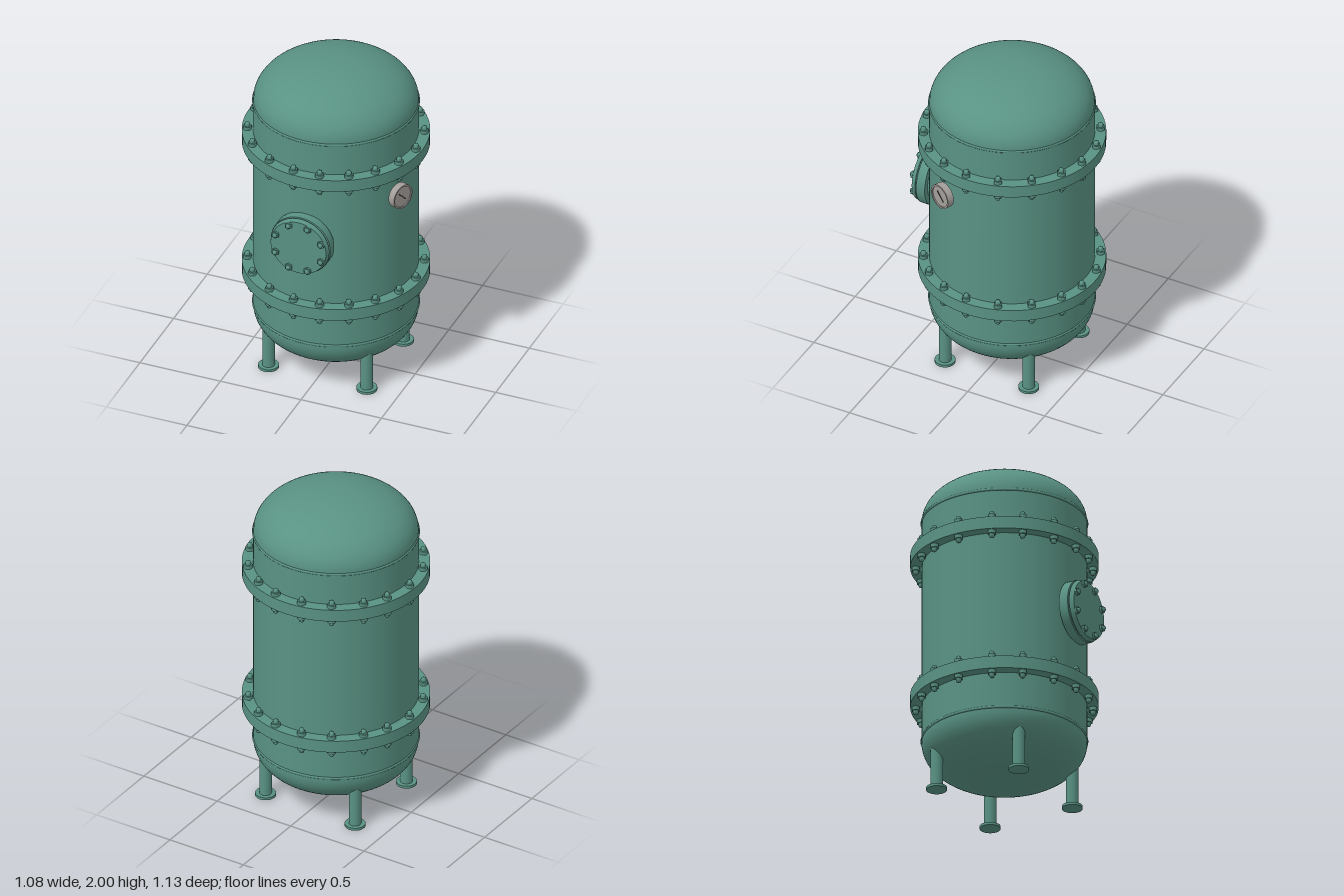
import * as THREE from 'three';

const paint = new THREE.MeshStandardMaterial({ color: 0x599283 });
paint.name = 'green paint';
const steel = new THREE.MeshStandardMaterial({ color: 0xa39e9a });
steel.name = 'gauge grey';
const dark = new THREE.MeshStandardMaterial({ color: 0x2b2b2b });
dark.name = 'needle black';

const R = 0.475;

function add(parent, name, geometry, material, x = 0, y = 0, z = 0) {
  const mesh = new THREE.Mesh(geometry, material);
  mesh.name = name;
  mesh.position.set(x, y, z);
  parent.add(mesh);
  return mesh;
}

function lathe(points, segments) {
  return new THREE.LatheGeometry(points.map(([r, y]) => new THREE.Vector2(r, y)), segments);
}

// Hex nut with a rounded stud end, standing on y = 0 and pointing up
const nutGeo = new THREE.CylinderGeometry(0.026, 0.026, 0.022, 6).translate(0, 0.011, 0);
const studGeo = lathe([[0.016, 0], [0.016, 0.032], [0.013, 0.041], [0.007, 0.045], [0, 0.046]], 12);
function makeBolt(scale = 1) {
  const bolt = new THREE.Group();
  bolt.name = 'bolt';
  add(bolt, 'nut', nutGeo, paint);
  add(bolt, 'stud', studGeo, paint);
  bolt.scale.setScalar(scale);
  return bolt;
}

// Shell with flattened elliptical heads at both ends
function vesselGeometry() {
  const pts = [];
  const n = 20, p = 2 / 2.15;
  for (let i = 0; i <= n; i++) {
    const a = (i / n) * Math.PI / 2;
    pts.push([i ? R * Math.sin(a) ** p : 0, 0.36 - 0.26 * Math.max(0, Math.cos(a)) ** p]);
  }
  for (let i = n; i >= 0; i--) {
    const a = (i / n) * Math.PI / 2;
    pts.push([i ? R * Math.sin(a) ** p : 0, 1.74 + 0.26 * Math.max(0, Math.cos(a)) ** p]);
  }
  return lathe(pts, 72);
}

function makeFlange(name, y) {
  const flange = new THREE.Group();
  flange.name = name;
  add(flange, 'ring', new THREE.CylinderGeometry(0.54, 0.54, 0.076, 72), paint);
  // Hand-spaced bolt circle, degrees from +x towards the back
  const angles = [100, 80, 62, 41, 19, -3, -22, -41, -59, -78, -96, -116, -138, -158, 179, 158, 141, 120];
  for (const deg of angles) {
    const a = THREE.MathUtils.degToRad(deg);
    for (const s of [1, -1]) {
      const bolt = makeBolt();
      bolt.position.set(0.508 * Math.cos(a), s * 0.038, -0.508 * Math.sin(a));
      if (s < 0) bolt.rotation.x = Math.PI;
      flange.add(bolt);
    }
  }
  flange.position.y = y;
  return flange;
}

// Bolted inspection cover; built along y, then turned to face +z
function makeManhole() {
  const hatch = new THREE.Group();
  hatch.name = 'inspectionHatch';
  add(hatch, 'neck', new THREE.CylinderGeometry(0.15, 0.15, 0.16, 48), paint, 0, 0.44, 0);
  add(hatch, 'hatchFlange', new THREE.CylinderGeometry(0.185, 0.185, 0.056, 48), paint, 0, 0.497, 0);
  add(hatch, 'gasket', new THREE.CylinderGeometry(0.172, 0.172, 0.012, 48), paint, 0, 0.53, 0);
  add(hatch, 'cover', new THREE.CylinderGeometry(0.172, 0.182, 0.026, 48), paint, 0, 0.547, 0);
  for (let i = 0; i < 8; i++) {
    const a = (i + 0.5) * Math.PI / 4;
    const bolt = makeBolt(0.9);
    bolt.scale.y = 0.58;
    bolt.position.set(0.153 * Math.cos(a), 0.559, 0.153 * Math.sin(a));
    hatch.add(bolt);
  }
  hatch.rotation.x = Math.PI / 2;
  hatch.position.y = 1.065;
  return hatch;
}

// Pressure gauge; built along y, then turned outwards
function makeGauge() {
  const gauge = new THREE.Group();
  gauge.name = 'pressureGauge';
  add(gauge, 'stub', new THREE.CylinderGeometry(0.033, 0.033, 0.06, 24), paint, 0, 0.48, 0);
  // Hollow rim around a sunken dial
  add(gauge, 'case', new THREE.CylinderGeometry(0.076, 0.076, 0.036, 40), steel, 0, 0.516, 0);
  add(gauge, 'rimOuter', new THREE.CylinderGeometry(0.076, 0.076, 0.008, 40, 1, true), steel, 0, 0.537, 0);
  const rimInner = new THREE.CylinderGeometry(0.066, 0.066, 0.008, 40, 1, true).scale(-1, 1, 1);
  const idx = rimInner.index.array;
  // Mirroring turned the wall inwards; mirror the normals to match
  for (let i = 0; i < rimInner.attributes.normal.count; i++) {
    const n = rimInner.attributes.normal;
    n.setXYZ(i, -n.getX(i), n.getY(i), -n.getZ(i));
  }
  rimInner.setIndex(Array.from(idx));
  add(gauge, 'rimInner', rimInner, steel, 0, 0.537, 0);
  add(gauge, 'rimEdge', new THREE.RingGeometry(0.066, 0.076, 40).rotateX(-Math.PI / 2), steel, 0, 0.541, 0);
  const needle = add(gauge, 'needle', new THREE.BoxGeometry(0.075, 0.003, 0.006), dark, 0, 0.536, 0);
  needle.rotation.y = Math.PI / 4;
  gauge.rotation.z = -Math.PI / 2;
  const turn = new THREE.Group();
  turn.name = 'gaugeMount';
  turn.add(gauge);
  turn.rotation.y = -THREE.MathUtils.degToRad(22);
  turn.position.y = 1.325;
  return turn;
}

export function createModel() {
  const model = new THREE.Group();
  model.name = 'pressureTank';
  const tank = new THREE.Group();
  tank.name = 'tank';
  tank.position.z = -0.02;
  model.add(tank);

  add(tank, 'vessel', vesselGeometry(), paint);

  // Weld beads where the heads meet the shell
  for (const y of [0.365, 1.74]) {
    add(tank, 'weldBead', new THREE.TorusGeometry(R - 0.003, 0.009, 8, 72).rotateX(Math.PI / 2), paint, 0, y, 0);
  }

  tank.add(makeFlange('upperFlange', 1.502), makeFlange('lowerFlange', 0.619));
  tank.add(makeManhole(), makeGauge());

  // Four pipe legs with round feet
  for (const x of [-0.305, 0.305]) {
    for (const z of [-0.272, 0.272]) {
      const leg = new THREE.Group();
      leg.name = 'leg';
      leg.position.set(x, 0, z);
      add(leg, 'pipe', new THREE.CylinderGeometry(0.036, 0.036, 0.25, 24), paint, 0, 0.135, 0);
      add(leg, 'foot', new THREE.CylinderGeometry(0.06, 0.06, 0.016, 32), paint, 0, 0.008, 0);
      tank.add(leg);
    }
  }
  return model;
}
